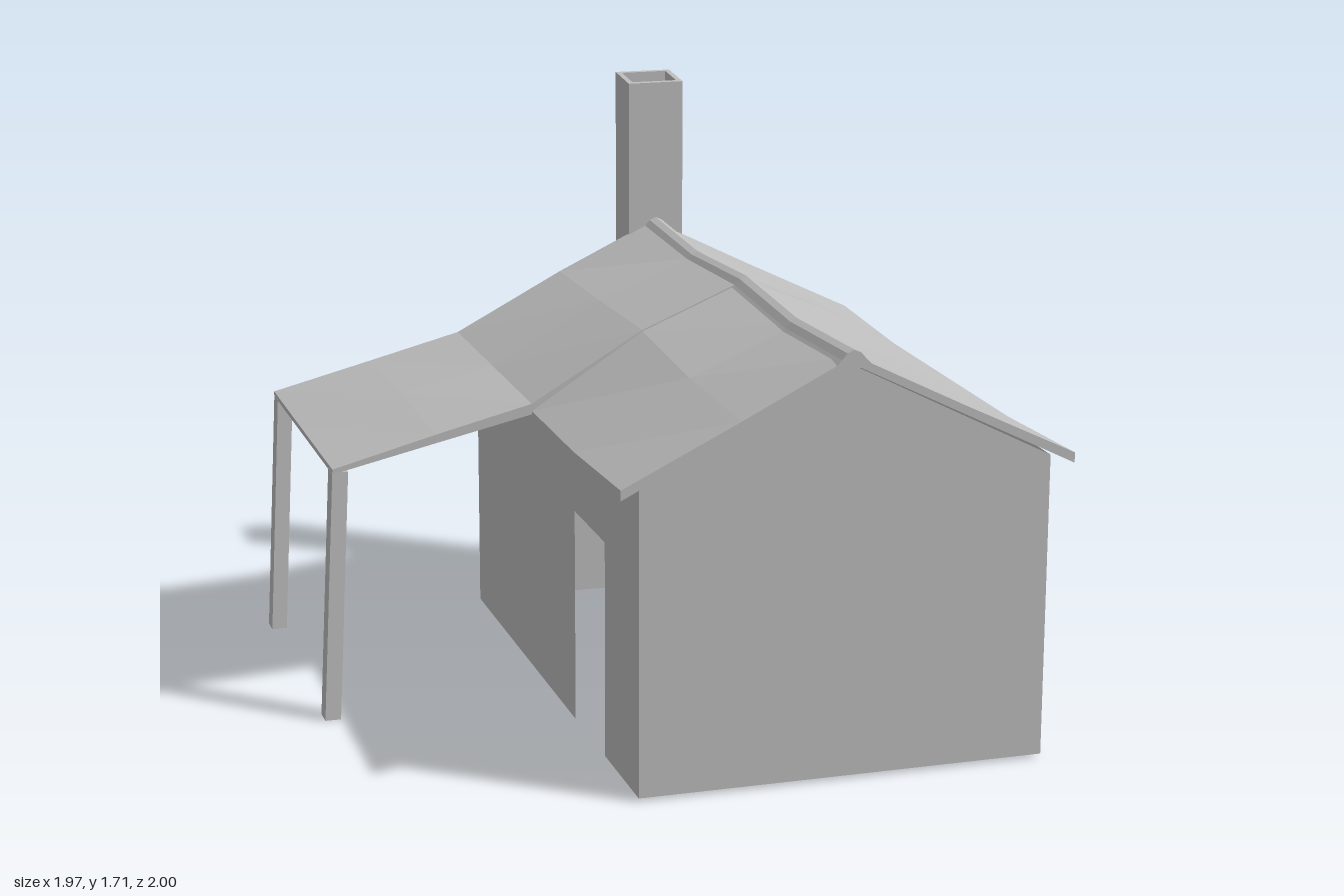
import * as THREE from 'three';

const grey = new THREE.MeshStandardMaterial({ color: 0xbcbcbc, side: THREE.DoubleSide, flatShading: true });
grey.name = 'plain grey';

function add(group, name, geometry) {
  const mesh = new THREE.Mesh(geometry, grey);
  mesh.name = name;
  group.add(mesh);
  return mesh;
}

// Closed slab: top and bottom heights for each x, lofted along z
function slab(xs, zs, topAt, bottomAt) {
  const pos = [];
  const n = xs.length;
  const quad = (a, b, c, d) => pos.push(...a, ...b, ...c, ...a, ...c, ...d);
  const top = (i, j) => [xs[i], topAt(i, j), zs[j]];
  const bottom = (i, j) => [xs[i], bottomAt(i, j), zs[j]];
  const ring = (k, j) => (k % (2 * n) < n ? top(k % (2 * n), j) : bottom(2 * n - 1 - (k % (2 * n)), j));
  const last = zs.length - 1;
  for (let k = 0; k < 2 * n; k++)
    for (let j = 0; j < last; j++)
      quad(ring(k, j), ring(k, j + 1), ring(k + 1, j + 1), ring(k + 1, j));
  for (let i = 0; i < n - 1; i++) {
    quad(bottom(i, last), bottom(i + 1, last), top(i + 1, last), top(i, last));
    quad(top(i, 0), top(i + 1, 0), bottom(i + 1, 0), bottom(i, 0));
  }
  const g = new THREE.BufferGeometry();
  g.setAttribute('position', new THREE.Float32BufferAttribute(pos, 3));
  g.computeVertexNormals();
  return g;
}

const outline = (points) => new THREE.Shape(points.map(([x, y]) => new THREE.Vector2(x, y)));

// Thin wall: a flat outline placed in space by a rule
function wall(points, place) {
  const g = new THREE.ShapeGeometry(outline(points));
  const p = g.attributes.position;
  for (let i = 0; i < p.count; i++) p.setXYZ(i, ...place(p.getX(i), p.getY(i)));
  g.computeVertexNormals();
  return g;
}

export function createModel() {
  const house = new THREE.Group();
  house.name = 'house';

  // Walls, open at the floor
  const base = 0.01, eave = 0.9;
  const gable = [[-0.28, base], [0.92, base], [0.92, eave], [0.32, 1.205], [-0.28, eave]];
  const backZ = (x) => -0.838 + (x - 0.32) * 0.014;
  add(house, 'frontWall', wall(gable, (x, y) => [x, y, 0.97]));
  add(house, 'backWall', wall(gable.map(([x, y]) => [-x, y]), (u, y) => [-u, y, backZ(-u)]));
  add(house, 'leftWall', wall([[-0.97, base], [0.83, base], [0.83, eave], [-0.97, eave]],
    (u, y) => [0.92, y, -u]));
  // Wall under the porch, with a doorway
  add(house, 'doorWall', wall([[-0.847, base], [0.32, base], [0.32, 0.65], [0.635, 0.65],
    [0.635, base], [0.97, base], [0.97, eave], [-0.847, eave]], (u, y) => [-0.28, y, u]));

  // Main roof, sagging and swelling along its length
  const zs = [-0.86, -0.4, 0.07, 0.53, 1.0];
  const xs = [-0.34, 0, 0.32, 0.64, 0.98];
  const tops = [0.91, 1.075, 1.235, 1.075, 0.91];
  const bottoms = [0.88, 1.05, 1.21, 1.05, 0.88];
  const ridgeSag = [0, -0.02, 0.005, -0.02, 0];
  const middleSag = [0, -0.005, 0.033, 0.005, 0];
  const eaveSag = [0, -0.02, -0.02, -0.02, 0];
  const sags = [eaveSag, middleSag, ridgeSag, middleSag, eaveSag];
  add(house, 'mainRoof', slab(xs, zs,
    (i, j) => tops[i] + sags[i][j],
    (i, j) => bottoms[i] + Math.min(0, sags[i][j]) * (i === 2 ? 1 : 0)));

  // Rounded cap along the ridge
  const capX = [0.27, 0.285, 0.3, 0.32, 0.34, 0.355, 0.37];
  const capY = [1.21, 1.225, 1.243, 1.252, 1.243, 1.225, 1.21];
  add(house, 'ridgeCap', slab(capX, zs,
    (i, j) => capY[i] + ridgeSag[j], (i, j) => 1.2 + ridgeSag[j]));

  // Porch roof, lapping over the main roof up to the ridge
  const porchX = [-0.94, -0.63, -0.34, 0, 0.285];
  const porchTop = [0.76, 0.838, 0.912, 1.09, 1.225];
  const porchBottom = [0.745, 0.815, 0.88, 1.06, 1.2];
  const porchBulge = [
    [0, 0, 0], [0, 0.01, 0.003], [0, 0, 0], [0, 0.008, 0.022], [0, -0.015, 0.005],
  ];
  add(house, 'porchRoof', slab(porchX, zs.slice(0, 3),
    (i, j) => porchTop[i] + porchBulge[i][j], (i) => porchBottom[i]));

  // Leaning porch posts
  for (const [name, footZ, topZ] of [['frontPost', 0.07, 0.04], ['backPost', -0.795, -0.825]]) {
    const g = new THREE.BoxGeometry(0.047, 0.75, 0.06);
    g.translate(0, 0.375, 0);
    const p = g.attributes.position;
    for (let i = 0; i < p.count; i++) {
      const t = p.getY(i) / 0.75;
      p.setX(i, p.getX(i) - 0.962 + 0.045 * t);
      p.setZ(i, p.getZ(i) + footZ + (topZ - footZ) * t);
    }
    g.computeVertexNormals();
    add(house, name, g);
  }

  // Chimney base with sloping shoulders
  const chimneyBase = new THREE.ExtrudeGeometry(
    outline([[0.14, 0.02], [0.5, 0.02], [0.5, 0.41], [0.41, 0.5], [0.23, 0.5], [0.14, 0.41]]),
    { depth: 0.155, bevelEnabled: false });
  add(house, 'chimneyBase', chimneyBase).position.z = -1;

  // Hollow chimney shaft with a slightly tilted rim
  const flue = outline([[0.23, 0.85], [0.41, 0.85], [0.41, 1], [0.23, 1]]);
  flue.holes.push(outline([[0.247, 0.867], [0.247, 0.985], [0.393, 0.985], [0.393, 0.867]]));
  const shaft = new THREE.ExtrudeGeometry(flue, { depth: 1.2, bevelEnabled: false });
  shaft.rotateX(-Math.PI / 2);
  shaft.translate(0, 0.49, 0);
  const p = shaft.attributes.position;
  for (let i = 0; i < p.count; i++)
    if (p.getY(i) > 1) p.setY(i, p.getY(i) + (-p.getZ(i) - 0.85) * 0.1);
  shaft.computeVertexNormals();
  add(house, 'chimneyShaft', shaft);

  return house;
}
